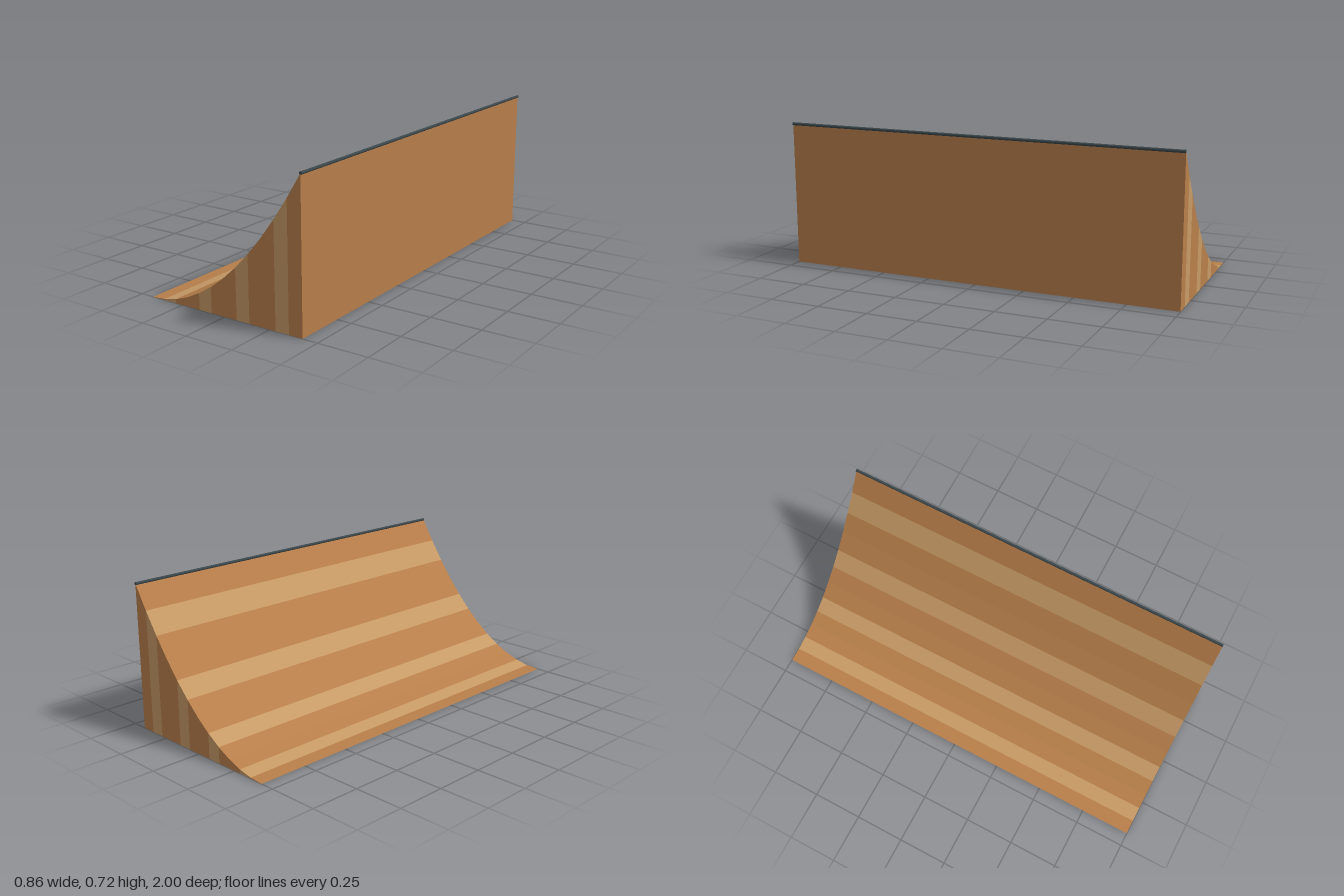
import * as THREE from 'three';

const SEGMENTS = 12, X0 = -0.431, X1 = 0.424, HEIGHT = 0.714, HALF = 1;

// Parabolic riding profile
const profile = Array.from({ length: SEGMENTS + 1 }, (_, i) => {
  const t = i / SEGMENTS;
  return [X0 + (X1 - X0) * t, HEIGHT * t * t];
});

function makeMaterial(name, color) {
  const m = new THREE.MeshStandardMaterial({ color, side: THREE.DoubleSide });
  m.name = name;
  return m;
}

// Flat panels from a list of quads; every third panel takes the second material
function panels(name, quads, materials) {
  const positions = [];
  const geometry = new THREE.BufferGeometry();
  quads.forEach(([a, b, c, d], i) => {
    positions.push(...a, ...b, ...c, ...a, ...c, ...d);
    geometry.addGroup(i * 6, 6, i % 3 === 1 ? 1 : 0);
  });
  geometry.setAttribute('position', new THREE.Float32BufferAttribute(positions, 3));
  geometry.computeVertexNormals();
  const mesh = new THREE.Mesh(geometry, materials);
  mesh.name = name;
  return mesh;
}

export function createModel() {
  const group = new THREE.Group();
  group.name = 'quarterPipeRamp';
  const wood = makeMaterial('wood', 0xb87f4a);
  const lightWood = makeMaterial('lightWood', 0xc89b66);
  const steel = makeMaterial('darkSteel', 0x3c484d);
  const woods = [wood, lightWood];

  // Visit each consecutive pair of profile points
  const strips = (fn) => profile.slice(0, -1).map((p, i) => fn(p, profile[i + 1]));

  // Curved riding surface
  group.add(panels('ridingSurface', strips(([xa, ya], [xb, yb]) => [
    [xa, ya, HALF], [xb, yb, HALF], [xb, yb, -HALF], [xa, ya, -HALF],
  ]), woods));

  // End panels, made of upright boards; the underside stays open
  group.add(panels('frontSide', strips(([xa, ya], [xb, yb]) => [
    [xa, 0, HALF], [xb, 0, HALF], [xb, yb, HALF], [xa, ya, HALF],
  ]), woods));
  group.add(panels('backSide', strips(([xa, ya], [xb, yb]) => [
    [xb, 0, -HALF], [xa, 0, -HALF], [xa, ya, -HALF], [xb, yb, -HALF],
  ]), woods));

  // Upright wall behind the curve
  const wall = new THREE.Mesh(new THREE.PlaneGeometry(2 * HALF, HEIGHT), wood);
  wall.name = 'uprightWall';
  wall.rotation.y = Math.PI / 2;
  wall.position.set(X1, HEIGHT / 2, 0);
  group.add(wall);

  // Coping rail along the top edge
  const rail = new THREE.Mesh(new THREE.CylinderGeometry(0.0075, 0.0075, 2 * HALF, 8), steel);
  rail.name = 'copingRail';
  rail.rotation.x = Math.PI / 2;
  rail.position.set(X1, HEIGHT, 0);
  group.add(rail);

  return group;
}
